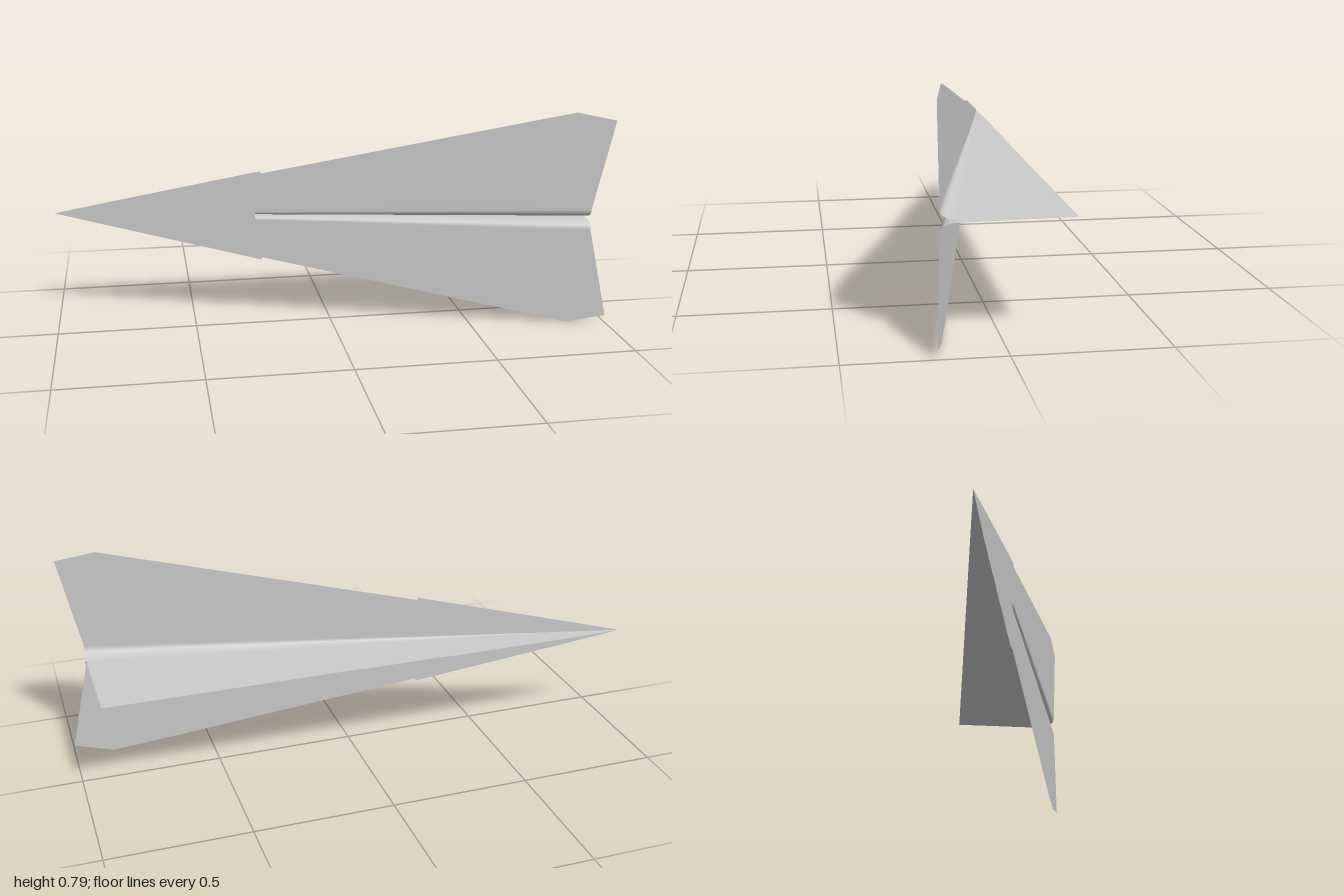
import * as THREE from 'three';

const paper = new THREE.MeshStandardMaterial({ color: 0xcccccc, side: THREE.DoubleSide });
const LENGTH = 1.93;   // nose to root trailing edge
const NOSE_Z = -0.215;

// Every fold is a straight ray from the nose, so a sheet is a cone over a
// cross-section [height above the crease, distance from the middle].
function sheet(name, profile, offset = 0) {
  const pos = [], index = [], rows = 8, n = profile.length;
  profile.forEach(([h, d, end], i) => {
    // push the layer sideways, square to the section
    const a = profile[Math.max(i - 1, 0)], b = profile[Math.min(i + 1, n - 1)];
    const len = Math.hypot(b[0] - a[0], b[1] - a[1]);
    const oz = -offset * (b[1] - a[1]) / len, oy = offset * (b[0] - a[0]) / len;
    for (let j = 0; j <= rows; j++) {
      const s = end * j / rows, k = Math.min(1, s * 10);
      pos.push(-1 + s * LENGTH, s * d + oy * k, NOSE_Z + s * h + oz * k);
      if (i < n - 1 && j < rows) {
        const p = i * (rows + 1) + j, q = p + rows + 1;
        index.push(p, p + 1, q, q, p + 1, q + 1);
      }
    }
  });
  const geo = new THREE.BufferGeometry();
  geo.setAttribute('position', new THREE.Float32BufferAttribute(pos, 3));
  geo.setIndex(index);
  geo.computeVertexNormals();
  const mesh = new THREE.Mesh(geo, paper);
  mesh.name = name;
  return mesh;
}

// straight cut between two rays: 1 / reach is linear
const reach = (a, b, t) => 1 / ((1 - t) / a + t / b);

// Keel, rounded fold and wing; reaches are given at crease, root, rear tip and edge
function foldedProfile(crease, root, tip, edge, span) {
  const pts = [];
  const keel = 0.36, wing = 0.415, steps = 8;
  for (let i = 0; i < 4; i++) {
    const t = i / 4;
    pts.push([keel * t, 0.005 * t, reach(crease, root, t * 0.9)]);
  }
  const curve = new THREE.QuadraticBezierCurve(
    new THREE.Vector2(keel, 0.005), new THREE.Vector2(wing, 0.006), new THREE.Vector2(wing, 0.04));
  for (let i = 0; i <= steps; i++) {
    const p = curve.getPoint(i / steps);
    pts.push([p.x, p.y, reach(crease, root, 0.9 + 0.1 * i / steps)]);
  }
  const rearTip = 0.355;
  for (let i = 1; i <= 4; i++) {
    const t = i / 4;
    pts.push([wing, 0.04 + (rearTip - 0.04) * t, reach(root, tip, t)]);
  }
  pts.push([wing, span, edge]);
  return pts;
}

function half(name) {
  const g = new THREE.Group();
  g.name = name;
  // full sheet with keel and wing
  g.add(sheet('wingSheet', foldedProfile(1, 1, 1.036, 0.964, 0.41)));
  // folded layers on the underside
  g.add(sheet('innerFoldLayer', foldedProfile(0.52, 0.675, 0.875, 0.93, 0.41), 0.002));
  g.add(sheet('noseFoldLayer', foldedProfile(0.35, 0.415, 0.394, 0.389, 0.432), 0.004));
  // flat layer closing the slot at the nose
  g.add(sheet('noseCover', [[0.415, 0, 0.378], [0.415, 0.22, 0.383], [0.415, 0.432, 0.389]], -0.002));
  return g;
}

export function createModel() {
  const model = new THREE.Group();
  model.name = 'paperPlane';
  const upper = half('upperHalf'), lower = half('lowerHalf');
  lower.scale.y = -1;
  upper.position.y = lower.position.y = 0.397;
  model.add(upper, lower);
  return model;
}
